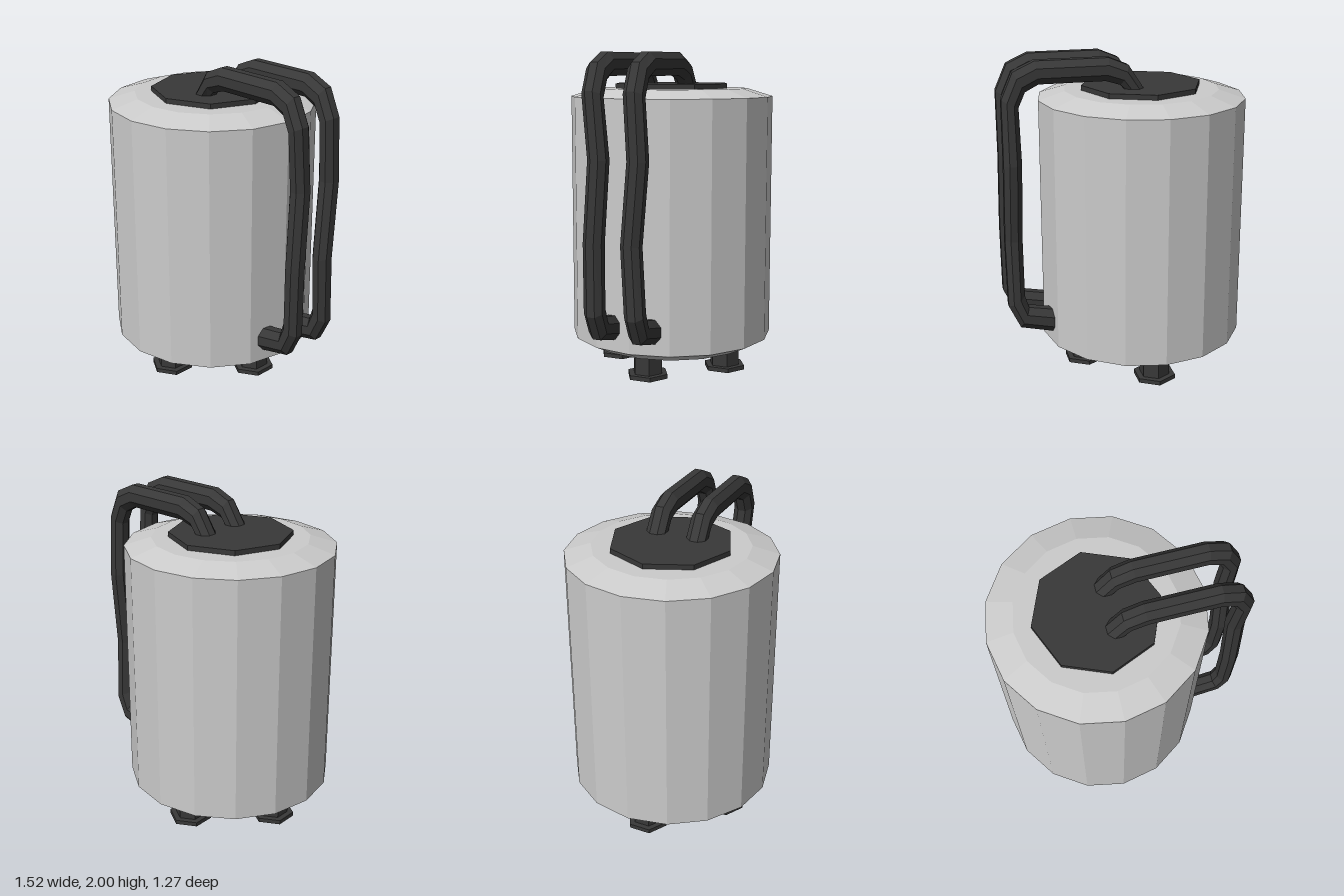
import * as THREE from 'three';

const grey = new THREE.MeshStandardMaterial({ color: 0xcccccc, flatShading: true });
const dark = new THREE.MeshStandardMaterial({ color: 0x383838, flatShading: true });
const CX = -0.127; // tank axis

function lathe(name, profile, sides, material, x, z) {
  const points = profile.map(([r, y]) => new THREE.Vector2(r, y));
  const mesh = new THREE.Mesh(new THREE.LatheGeometry(points, sides), material);
  mesh.name = name;
  mesh.position.set(x, 0, z);
  return mesh;
}

// Each station: outer x, y, inner x, y, sideways sway, all in the plane of the pipe
const stations = [
  [-0.12, 1.78, -0.01, 1.78, 0],
  [-0.01, 1.95, 0.04, 1.835, 0],
  [0.11, 2.0, 0.13, 1.862, 0],
  [0.55, 2.0, 0.53, 1.862, 0],
  [0.68, 1.94, 0.61, 1.82, 0],
  [0.75, 1.78, 0.65, 1.73, 0],
  [0.752, 1.39, 0.643, 1.39, 1],
  [0.757, 0.91, 0.65, 0.9, 2],
  [0.752, 0.48, 0.65, 0.54, 0],
  [0.68, 0.33, 0.625, 0.46, 0],
  [0.47, 0.28, 0.47, 0.43, 0],
];

function pipe(name, z, sway) {
  const sides = 8, halfZ = 0.06;
  const pos = [], index = [];
  // octagonal cross-sections with flats facing out, in and to the sides
  for (const [ox, oy, ix, iy, s] of stations) {
    for (let j = 0; j < sides; j++) {
      const a = ((j + 0.5) / sides) * Math.PI * 2;
      const k = 1 / Math.cos(Math.PI / sides);
      const c = Math.cos(a) * k / 2, d = Math.sin(a) * k;
      pos.push((ox + ix) / 2 + (ox - ix) * c, (oy + iy) / 2 + (oy - iy) * c, z + sway[s] + halfZ * d);
    }
  }
  for (let i = 0; i < stations.length - 1; i++) {
    for (let j = 0; j < sides; j++) {
      const a = i * sides + j, b = i * sides + (j + 1) % sides;
      index.push(a, a + sides, b, b, a + sides, b + sides);
    }
  }
  // end caps
  const last = (stations.length - 1) * sides;
  for (let j = 1; j < sides - 1; j++) {
    index.push(0, j, j + 1, last, last + j + 1, last + j);
  }
  const geometry = new THREE.BufferGeometry();
  geometry.setAttribute('position', new THREE.Float32BufferAttribute(pos, 3));
  geometry.setIndex(index);
  geometry.computeVertexNormals();
  const material = dark.clone();
  material.side = THREE.DoubleSide;
  const mesh = new THREE.Mesh(geometry, material);
  mesh.name = name;
  return mesh;
}

export function createModel() {
  const model = new THREE.Group();
  model.name = 'tank';

  // Bevelled tank body and lid
  model.add(lathe('tankBody',
    [[0, 0.15], [0.51, 0.15], [0.637, 0.21], [0.637, 1.73], [0.475, 1.78], [0, 1.78]], 16, grey, CX, 0));
  model.add(lathe('lid', [[0, 1.77], [0.373, 1.77], [0.373, 1.81], [0, 1.81]], 8, dark, CX, 0));

  // Four hexagonal feet with flanges
  for (let i = 0; i < 4; i++) {
    const a = i * Math.PI / 2;
    model.add(lathe('foot' + (i + 1),
      [[0, 0], [0.134, 0], [0.134, 0.027], [0.096, 0.027], [0.096, 0.16], [0, 0.16]],
      6, dark, CX + 0.371 * Math.cos(a), 0.371 * Math.sin(a)));
  }

  // Two pipes from the lid down the left side
  model.add(pipe('frontPipe', 0.128, [0, -0.032, 0]));
  model.add(pipe('backPipe', -0.132, [0, -0.02, 0.02]));
  return model;
}
